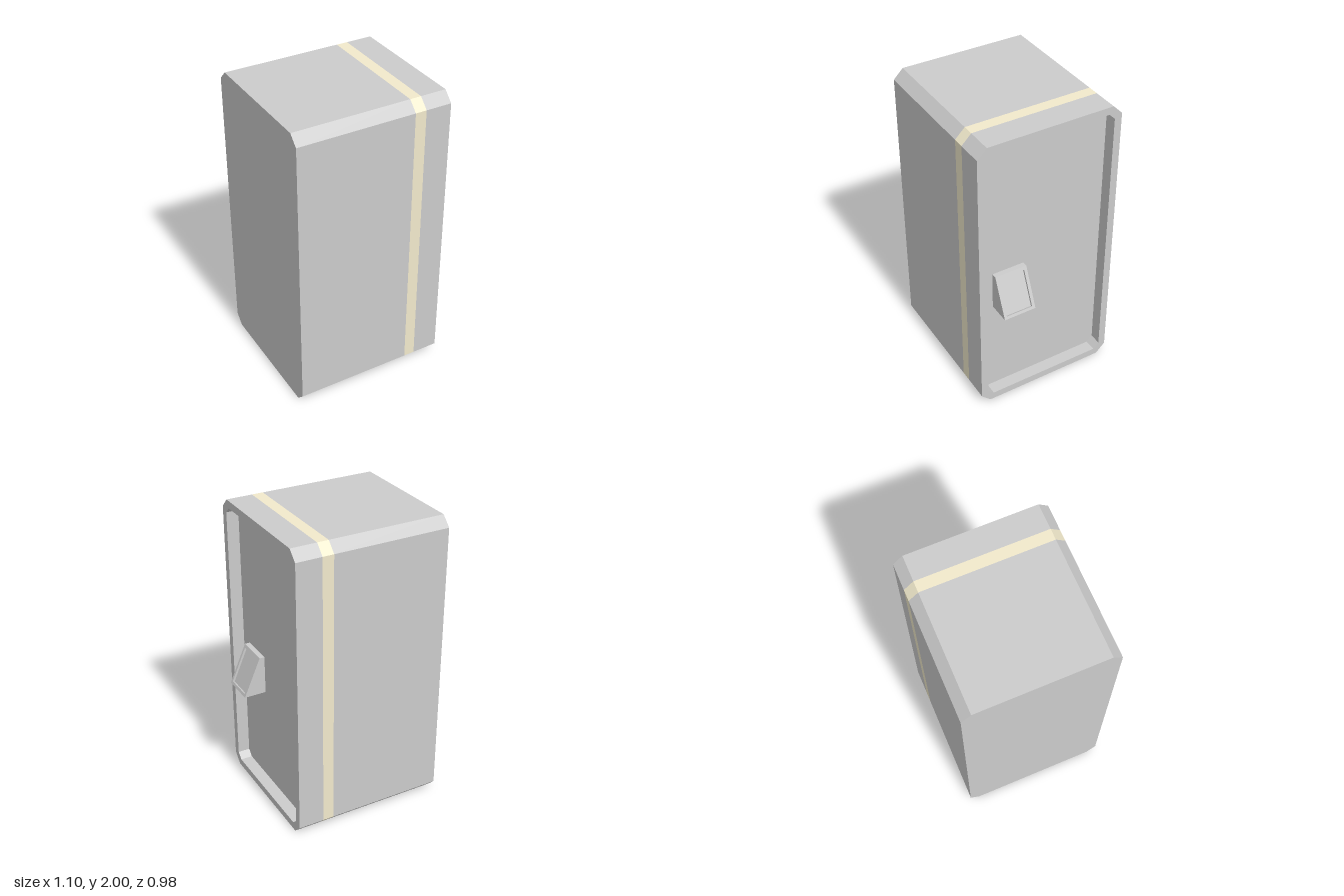
import * as THREE from 'three';

const BACK = -0.552, RIM = 0.484, PANEL = 0.402;
const grey = new THREE.MeshStandardMaterial({ color: 0xcccccc, flatShading: true });
const cream = new THREE.MeshStandardMaterial({ color: 0xf2eacc, flatShading: true });

// Rectangle with cut corners, standing on the floor and inset from the full section
function section(inset, cut, Type = THREE.Shape) {
  const w = 0.49 - inset, b = inset, t = 2 - inset;
  return new Type([
    [-w + cut, b], [w - cut, b], [w, b + cut], [w, t - cut],
    [w - cut, t], [-w + cut, t], [-w, t - cut], [-w, b + cut],
  ].map(([u, v]) => new THREE.Vector2(u, v)));
}

// Extrude a section along x from x0 to x1
function band(shape, x0, x1) {
  return new THREE.ExtrudeGeometry(shape, { depth: x1 - x0, bevelEnabled: false })
    .rotateY(Math.PI / 2).translate(x0, 0, 0);
}

// Join four-cornered rings from back to front and close the last one
function loft(rings) {
  const pos = [];
  const quad = (a, b, c, d) => pos.push(...a, ...b, ...c, ...a, ...c, ...d);
  for (let r = 0; r < rings.length - 1; r++) {
    const A = rings[r], B = rings[r + 1];
    for (let i = 0; i < 4; i++) {
      const j = (i + 1) % 4;
      quad(A[i], A[j], B[j], B[i]);
    }
  }
  quad(...rings[rings.length - 1]);
  const g = new THREE.BufferGeometry();
  g.setAttribute('position', new THREE.Float32BufferAttribute(pos, 3));
  g.computeVertexNormals();
  return g;
}

export function createModel() {
  const model = new THREE.Group();
  const add = (name, geometry, material = grey) => {
    const mesh = new THREE.Mesh(geometry, material);
    mesh.name = name;
    model.add(mesh);
  };

  // Cabinet with a flush stripe and an open rim on its left side
  const outer = section(0, 0.064);
  add('cabinetBody', band(outer, BACK, 0.235));
  add('stripe', band(outer, 0.235, 0.31), cream);
  const rim = section(0, 0.064);
  rim.holes.push(section(0.05, 0.04, THREE.Path));
  add('cabinetRim', band(rim, 0.31, RIM));

  // Panel set back inside the rim
  add('recessedPanel', new THREE.ShapeGeometry(section(0.05, 0.04))
    .rotateY(Math.PI / 2).translate(PANEL, 0, 0));

  // Sloping handle box with a shallow pocket in its face
  const slope = (y) => 0.552 - (y - 0.735) * 0.434;
  const ring = (y0, y1, z0, z1, x, dy = 0) => [
    [x(y0), y0 + dy, z1], [x(y0), y0 + dy, z0],
    [x(y1), y1 + dy, z0], [x(y1), y1 + dy, z1],
  ];
  const deep = 0.014;
  add('handleBox', loft([
    ring(0.735, 1, 0.13, 0.353, () => PANEL),
    ring(0.735, 1, 0.13, 0.353, slope),
    ring(0.752, 0.98, 0.151, 0.335, slope),
    ring(0.752, 0.98, 0.151, 0.335, (y) => slope(y) - deep * 0.917, -deep * 0.398),
  ]));

  return model;
}
